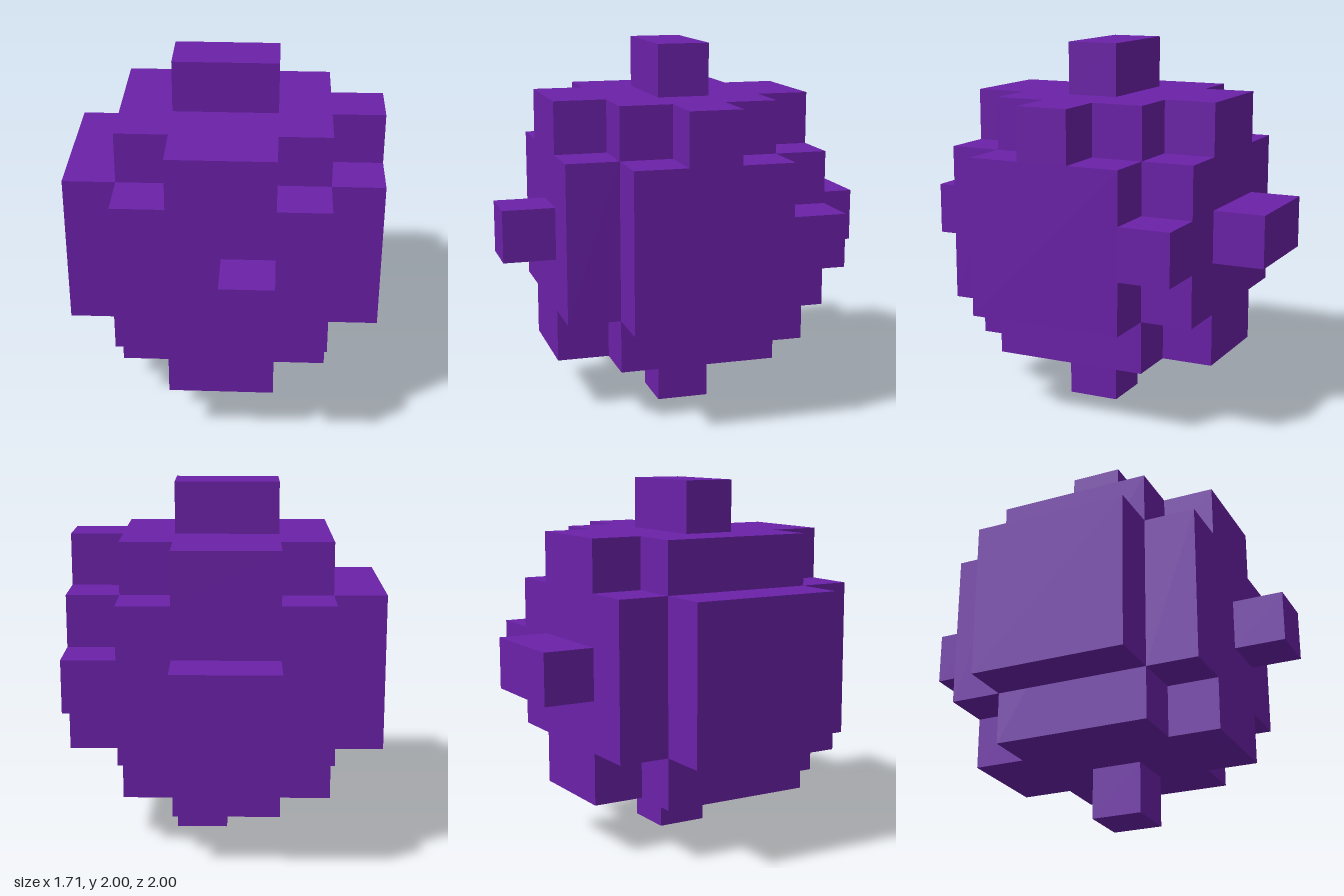
import * as THREE from 'three';

const U = 2 / 7; // one block of the grid

export function createModel() {
  const model = new THREE.Group();
  model.name = 'blockCluster';
  const purple = new THREE.MeshStandardMaterial({ color: 0x6b21a8 });
  purple.name = 'purple';

  function add(name, geometry) {
    const mesh = new THREE.Mesh(geometry, purple);
    mesh.name = name;
    model.add(mesh);
    return mesh;
  }

  // Box of w x h x d blocks, starting at grid cell (x, y, z)
  function block(name, x, y, z, w = 1, h = 1, d = 1) {
    add(name, new THREE.BoxGeometry(w * U, h * U, d * U))
      .position.set((x + w / 2 - 3) * U, (y + h / 2) * U, (z + d / 2 - 3.5) * U);
  }

  // Body: full middle, with notched corners on the front and back layers
  block('bodyMiddle', 1, 1, 2, 4, 5, 3);
  const outline = [[2, 1], [4, 1], [4, 2], [5, 2], [5, 5], [4, 5], [4, 6], [2, 6], [2, 5], [1, 5], [1, 2], [2, 2]];
  const cross = new THREE.Shape(outline.map(([x, y]) => new THREE.Vector2((x - 3) * U, y * U)));
  const layer = new THREE.ExtrudeGeometry(cross, { depth: U, bevelEnabled: false });
  add('bodyFront', layer).position.z = 1.5 * U;
  add('bodyBack', layer).position.z = -2.5 * U;

  // Side slabs
  block('rightSlab', 0, 2, 2, 1, 3, 3);
  block('leftSlab', 5, 2, 2, 1, 3, 3);

  // Single blocks beside the left slab
  block('leftUpperBlock', 5, 5, 3);
  block('leftRearBlock', 5, 3, 1);

  // Knobs on the top, bottom, front and back
  block('topKnob', 2, 6, 3, 2);
  block('bottomKnob', 3, 0, 3);
  block('frontKnob', 3, 3, 6);
  block('backKnob', 2, 3, 0, 2);

  return model;
}
